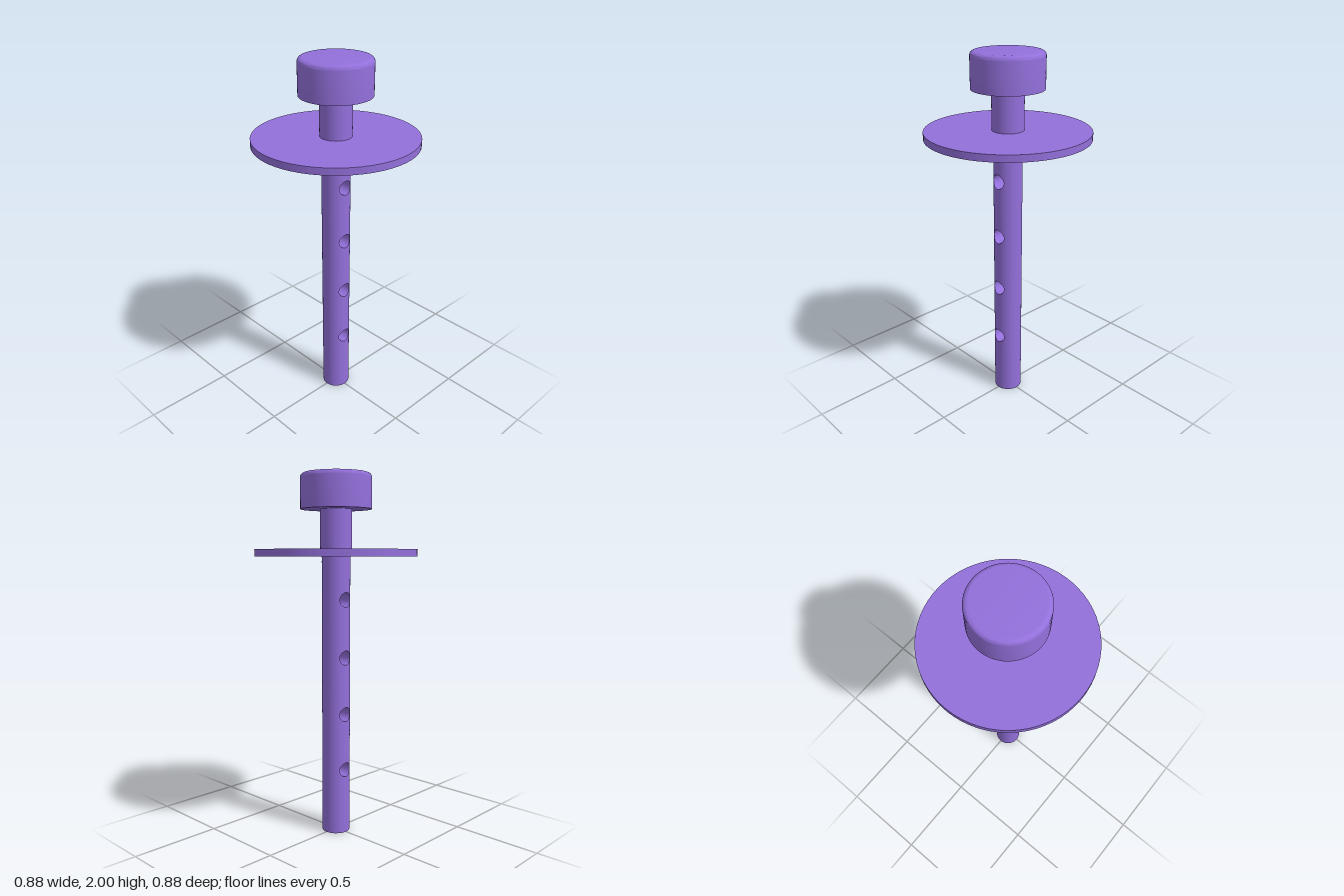
import * as THREE from 'three';
import { toCreasedNormals } from 'three/addons/utils/BufferGeometryUtils.js';

const ROD_R = 0.078, HOLE_R = 0.04, ROD_TOP = 1.57;
const HOLES = [0.368, 0.687, 1.006, 1.325];
const AROUND = 96;

// Smooth grid surface; fn(u, v) returns [position, normal] for u, v in 0..1
function gridGeometry(nu, nv, fn) {
  const pos = [], nor = [], idx = [];
  for (let i = 0; i <= nu; i++) {
    for (let j = 0; j <= nv; j++) {
      const [p, n] = fn(i / nu, j / nv);
      pos.push(...p);
      nor.push(...n);
      if (i < nu && j < nv) {
        const a = i * (nv + 1) + j, d = a + nv + 1;
        idx.push(a, a + 1, d + 1, a, d + 1, d);
      }
    }
  }
  const g = new THREE.BufferGeometry();
  g.setAttribute('position', new THREE.Float32BufferAttribute(pos, 3));
  g.setAttribute('normal', new THREE.Float32BufferAttribute(nor, 3));
  g.setIndex(idx);
  return g;
}

// Half of the rod wall from y0 to y1, wrapped around one round hole at height yc
function wallGeometry(yc, y0, y1) {
  return gridGeometry(AROUND, 10, (u, v) => {
    const a = u * Math.PI * 2, c = Math.cos(a), s = Math.sin(a);
    const m = Math.max(Math.abs(c), Math.abs(s));
    const holeTheta = Math.asin(HOLE_R * c / ROD_R);
    const edgeTheta = (c / m) * Math.PI / 2;
    const edgeY = (s / m) * (s > 0 ? y1 - yc : yc - y0);
    const theta = THREE.MathUtils.lerp(holeTheta, edgeTheta, v);
    const y = yc + THREE.MathUtils.lerp(HOLE_R * s, edgeY, v);
    const nx = Math.sin(theta), nz = Math.cos(theta);
    return [[ROD_R * nx, y, ROD_R * nz], [nx, 0, nz]];
  });
}

// Inner wall of a cross hole, running back to front
function boreGeometry(yc) {
  return gridGeometry(AROUND, 1, (u, v) => {
    const a = u * Math.PI * 2, c = Math.cos(a), s = Math.sin(a);
    const x = HOLE_R * c, z = Math.sqrt(ROD_R * ROD_R - x * x);
    return [[x, yc + HOLE_R * s, (v * 2 - 1) * z], [-c, -s, 0]];
  });
}

export function createModel() {
  const model = new THREE.Group();
  const material = new THREE.MeshStandardMaterial({ color: 0x9370db });
  const add = (parent, name, geometry) => {
    const mesh = new THREE.Mesh(geometry, material);
    mesh.name = name;
    parent.add(mesh);
    return mesh;
  };

  // Drilled rod: one wall band per hole, front and back
  const rod = new THREE.Group();
  rod.name = 'drilledRod';
  model.add(rod);
  HOLES.forEach((yc, i) => {
    const y0 = i === 0 ? 0 : (HOLES[i - 1] + yc) / 2;
    const y1 = i === HOLES.length - 1 ? ROD_TOP : (yc + HOLES[i + 1]) / 2;
    const wall = wallGeometry(yc, y0, y1);
    add(rod, 'rodFrontWall', wall);
    add(rod, 'rodBackWall', wall).rotation.y = Math.PI;
    add(rod, 'crossHole', boreGeometry(yc));
  });
  add(rod, 'rodEnd', new THREE.CircleGeometry(ROD_R, AROUND).rotateX(Math.PI / 2));

  // Flange plate
  add(model, 'flange', new THREE.CylinderGeometry(0.442, 0.442, 0.038, 64)).position.y = 1.577;

  // Neck between flange and head
  add(model, 'neck', new THREE.CylinderGeometry(0.086, 0.086, 0.23, 64)).position.y = 1.705;

  // Head with a rounded top edge
  const R = 0.193, round = 0.024;
  const profile = [new THREE.Vector2(0, 1.81), new THREE.Vector2(R, 1.81)];
  for (let i = 0; i <= 8; i++) {
    const a = (i / 8) * Math.PI / 2;
    profile.push(new THREE.Vector2(R - round + round * Math.cos(a), 2 - round + round * Math.sin(a)));
  }
  profile.push(new THREE.Vector2(0, 2));
  add(model, 'head', toCreasedNormals(new THREE.LatheGeometry(profile, 64), 0.6));

  return model;
}
